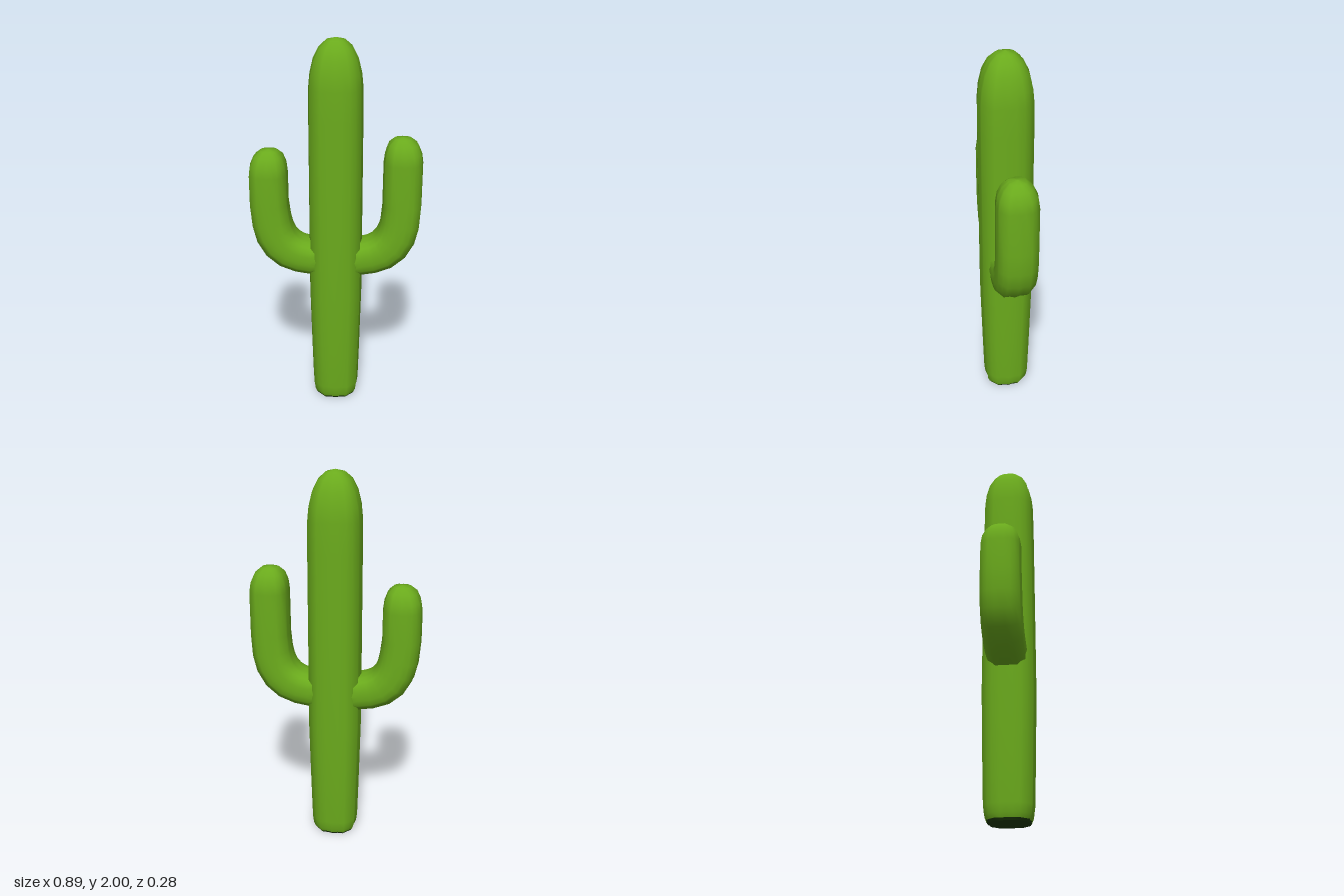
import * as THREE from 'three';

const RIBS = 12;
const SIDES = RIBS * 2;

// Ribbed, slightly squared tube swept in the xy plane.
// Each station is [x, y, radius, heading in degrees, depth radius along z].
function ribbedSweep(stations, groove = 0.06, squareness = 0.11) {
  const positions = [];
  const index = [];
  for (const [x, y, r, deg, rz = r] of stations) {
    const h = THREE.MathUtils.degToRad(deg);
    for (let j = 0; j < SIDES; j++) {
      const a = (j / SIDES) * Math.PI * 2;
      const swell = (j % 2 ? 1 - groove : 1) * (1 + squareness * Math.sin(2 * a) ** 2);
      const n = r * swell * Math.cos(a);
      positions.push(x + n * Math.sin(h), y - n * Math.cos(h), rz * swell * Math.sin(a));
    }
  }
  for (let i = 0; i < stations.length - 1; i++) {
    for (let j = 0; j < SIDES; j++) {
      const k = (j + 1) % SIDES;
      const a = i * SIDES + j, b = i * SIDES + k;
      const c = a + SIDES, d = b + SIDES;
      index.push(a, c, d, a, d, b);
    }
  }
  const geometry = new THREE.BufferGeometry();
  geometry.setAttribute('position', new THREE.Float32BufferAttribute(positions, 3));
  geometry.setIndex(index);
  geometry.computeVertexNormals();
  return geometry;
}

// Arm growing out of the trunk, bending upward and ending in a rounded tip.
function armStations(side, reach, top) {
  const path = [
    [0.05, 0.85, 0.096, 0, 0.1],
    [0.13, 0.85, 0.094, 2, 0.104],
    [0.19, 0.862, 0.096, 14, 0.105],
    [0.245, 0.886, 0.1, 32, 0.105],
    [0.29, 0.928, 0.103, 50, 0.105],
    [0.32, 0.985, 0.104, 67, 0.105],
    [0.335, 1.05, 0.103, 80, 0.105],
    [reach, 1.15, 0.101, 90, 0.104],
    [reach, top - 0.13, 0.1, 90, 0.103],
    [reach - 0.001, top - 0.08, 0.093, 90, 0.096],
    [reach - 0.003, top - 0.035, 0.075, 90],
    [reach - 0.005, top - 0.007, 0.043, 90],
    [reach - 0.006, top, 0.0001, 90],
  ];
  return path.map(([x, y, r, deg, rz]) => [side * x, y, r, side > 0 ? deg : 180 - deg, rz]);
}

export function createModel() {
  const model = new THREE.Group();
  model.name = 'cactus';
  const green = new THREE.MeshStandardMaterial({ color: 0x6aaa1c });
  green.name = 'cactus green';
  const darkGreen = new THREE.MeshStandardMaterial({ color: 0x1e3a0a });
  darkGreen.name = 'dark underside green';

  const add = (name, geometry, material = green) => {
    const mesh = new THREE.Mesh(geometry, material);
    mesh.name = name;
    model.add(mesh);
  };

  // Trunk: tapered foot, straight middle, domed top
  const trunk = [
    [0.012, 0.11], [0.035, 0.119], [0.08, 0.125], [0.3, 0.131], [0.65, 0.139],
    [1.2, 0.138], [1.6, 0.137], [1.76, 0.135], [1.83, 0.128], [1.9, 0.111],
    [1.955, 0.083], [1.988, 0.046], [2, 0.0001],
  ].map(([y, r]) => [0, y, r, 90]);
  add('trunk', ribbedSweep(trunk));

  // Dark, slightly hollowed underside with a thin rim
  add('base', ribbedSweep([[0, 0.012, 0.0001, 90], [0, 0, 0.102, 90]]), darkGreen);
  add('baseRim', ribbedSweep([[0, 0, 0.102, 90], [0, 0.012, 0.11, 90]]), darkGreen);

  add('leftArm', ribbedSweep(armStations(1, 0.342, 1.51)));
  add('rightArm', ribbedSweep(armStations(-1, 0.345, 1.44)));
  return model;
}
